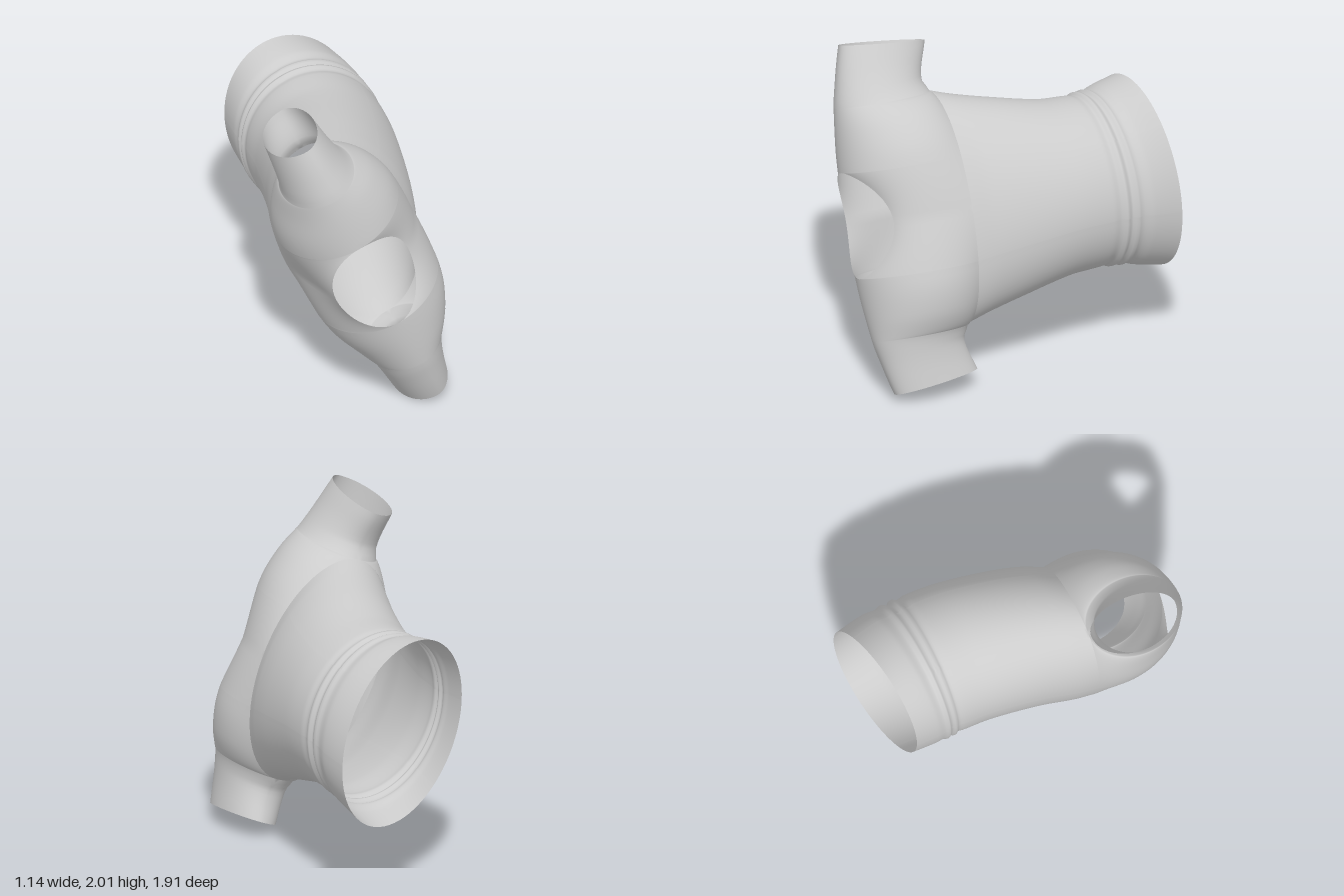
import * as THREE from 'three';
import { mergeGeometries, mergeVertices } from 'three/addons/utils/BufferGeometryUtils.js';

// The garment lies slanted: p runs across, q runs from sleeve to sleeve.
const SLANT = 0.4, COS = Math.cos(SLANT), SIN = Math.sin(SLANT);
const place = (p, q, z) => new THREE.Vector3(p * COS - q * SIN, 1 + p * SIN + q * COS, z);

// Smooth interpolation of rows [key, value, value...] with rising keys.
function sample(rows, key, col = 1) {
  let i = 0;
  while (i < rows.length - 2 && key > rows[i + 1][0]) i++;
  const slope = (j) => {
    const a = rows[Math.max(j - 1, 0)], b = rows[Math.min(j + 1, rows.length - 1)];
    return (b[col] - a[col]) / (b[0] - a[0]);
  };
  const a = rows[i], b = rows[i + 1], d = b[0] - a[0];
  const t = THREE.MathUtils.clamp((key - a[0]) / d, 0, 1), t2 = t * t, t3 = t2 * t;
  return (2 * t3 - 3 * t2 + 1) * a[col] + (t3 - 2 * t2 + t) * d * slope(i)
    + (3 * t2 - 2 * t3) * b[col] + (t3 - t2) * d * slope(i + 1);
}

const JOIN_Z = 0.33, JOIN_Q = 0.7, JOIN_P = 0.4; // ring where torso meets yoke
const NECK_Q = 0.318, NECK_P = 0.26;

// Torso rings: z, centre p, half width p, half width q (hem folds near the back)
const TORSO = [
  [-0.865, 0.09, 0.41, 0.58], [-0.7, 0.11, 0.43, 0.545], [-0.64, 0.112, 0.427, 0.52],
  [-0.61, 0.115, 0.438, 0.53], [-0.585, 0.115, 0.42, 0.508], [-0.56, 0.12, 0.44, 0.528],
  [-0.535, 0.12, 0.425, 0.508], [-0.49, 0.124, 0.432, 0.515], [-0.3, 0.12, 0.43, 0.53],
  [0, 0.08, 0.425, 0.6], [0.2, 0.035, 0.42, 0.655], [JOIN_Z, 0, JOIN_P, JOIN_Q],
];
// Yoke and sleeves by distance |q|: half widths on each side, front and back depth
const WIDTH_POS = [[0, 0.43], [0.37, 0.38], [0.57, 0.3], [0.72, 0.21], [0.85, 0.168], [1.03, 0.137]];
const WIDTH_NEG = [[0, 0.36], [0.27, 0.37], [0.42, 0.34], [0.6, 0.265], [0.75, 0.225], [1.03, 0.19]];
const FRONT = [[0, 0.95], [0.32, 0.95], [0.7, 0.92], [0.85, 0.885], [1.03, 0.83]];
const BACK = [[0, JOIN_Z], [0.7, JOIN_Z], [0.78, 0.365], [1.03, 0.3]];

// Stations from the upper cuff to the lower cuff
function stations() {
  const ring = [];
  for (let i = 0; i < 14; i++) ring.push(NECK_Q + (JOIN_Q - NECK_Q) * Math.cos((i / 14) * Math.PI / 2));
  for (let i = 0; i <= 28; i++) ring.push(NECK_Q * Math.cos((i / 28) * Math.PI));
  for (let i = 13; i >= 0; i--) ring.push(-ring[i]);
  const sleeve = (end) => Array.from({ length: 10 }, (_, i) => THREE.MathUtils.lerp(end, JOIN_Q, i / 10));
  return { ring, all: [...sleeve(1.03), ...ring, ...sleeve(1.0).reverse().map((q) => -q)] };
}

// Grid surface from a point function of station and v in 0..1
function patch(list, cols, point, flip) {
  const pos = [], index = [];
  for (const q of list) for (let j = 0; j <= cols; j++) pos.push(...point(q, j / cols).toArray());
  for (let i = 0; i < list.length - 1; i++) for (let j = 0; j < cols; j++) {
    const a = i * (cols + 1) + j, b = a + 1, c = a + cols + 1, d = c + 1;
    if (flip) index.push(a, b, c, b, d, c);
    else index.push(a, c, b, b, c, d);
  }
  const geo = new THREE.BufferGeometry();
  geo.setAttribute('position', new THREE.Float32BufferAttribute(pos, 3));
  geo.setIndex(index);
  return geo;
}

// Torso: rings from the hem up to the join
const torsoPoint = (side) => (q, v) => {
  const key = THREE.MathUtils.lerp(TORSO[0][0], JOIN_Z, v);
  const c = THREE.MathUtils.clamp(q / JOIN_Q, -1, 1), s = Math.sqrt(1 - c * c);
  const pt = place(sample(TORSO, key, 1) + side * sample(TORSO, key, 2) * s, sample(TORSO, key, 3) * c, key);
  pt.z -= 0.18 * pt.x * THREE.MathUtils.smoothstep(-key, 0.35, 0.865); // slanted hem
  return pt;
};

// Yoke and sleeves: half arcs from the join or underarm round to the neck or front line
const yokePoint = (side) => (q, v) => {
  const d = Math.abs(q);
  const w = sample(side > 0 ? WIDTH_POS : WIDTH_NEG, d);
  const zf = sample(FRONT, d), zb = sample(BACK, d);
  const s = d < JOIN_Q ? Math.sqrt(1 - (d / JOIN_Q) ** 2) : 0;
  const n = d < NECK_Q ? Math.sqrt(1 - (d / NECK_Q) ** 2) : 0;
  const start = Math.asin(s), end = Math.PI - Math.asin(Math.min(NECK_P * n / w, 1));
  const h = (zf - zb) / (1 + Math.cos(start)), cz = zf - h;
  const a = THREE.MathUtils.lerp(start, end, v);
  // pull both ends exactly onto the join ring and the neck edge
  const neckZ = zf - (side > 0 ? 0.17 : 0.08) * n * n;
  const p = w * Math.sin(a) + (1 - v) ** 2 * (JOIN_P - w) * s;
  const z = cz - h * Math.cos(a) + v ** 3 * (neckZ - (cz - h * Math.cos(end)));
  const lean = 0.12 * (z - 0.57) * THREE.MathUtils.smoothstep(d, 0.75, 1.03);
  return place(side * p, q + Math.sign(q) * lean, z);
};

export function createModel() {
  const group = new THREE.Group();
  group.name = 'shirt';
  const { ring, all } = stations();
  const parts = [];
  for (const side of [1, -1]) {
    parts.push(patch(ring, 100, torsoPoint(side), side > 0));
    parts.push(patch(all, 32, yokePoint(side), side > 0));
  }
  // One welded shell, so that shading flows across the seams
  const geometry = mergeVertices(mergeGeometries(parts), 1e-4);
  geometry.computeVertexNormals();
  const shell = new THREE.Mesh(geometry, new THREE.MeshStandardMaterial({ color: 0xcccccc, side: THREE.DoubleSide }));
  shell.name = 'torsoAndSleeves';
  group.add(shell);
  return group;
}
